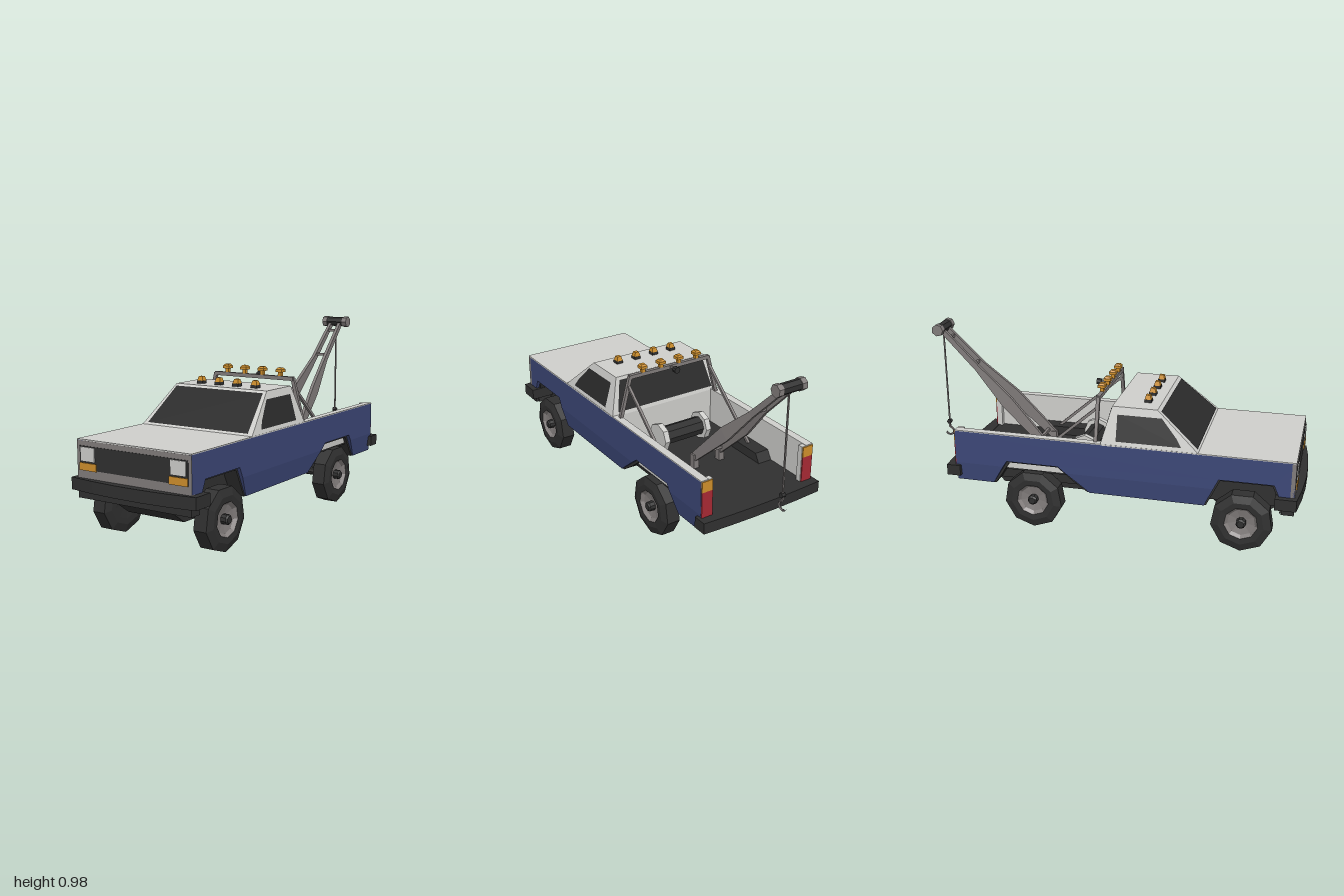
import * as THREE from 'three';
import { ConvexGeometry } from 'three/addons/geometries/ConvexGeometry.js';

const mat = (name, color, side = THREE.FrontSide) => {
  const m = new THREE.MeshStandardMaterial({ color, side });
  m.name = name;
  return m;
};

export function createModel() {
  const white = mat('offWhite', 0xcfcfcc), blue = mat('bluePaint', 0x3d4878);
  const dark = mat('darkRubber', 0x303030), grey = mat('greyMetal', 0x827d7c);
  const glass = mat('darkGlass', 0x2b2b2b, THREE.DoubleSide);
  const orange = mat('amber', 0xd0902c), red = mat('redLamp', 0xa82a34);
  const truck = new THREE.Group();
  truck.name = 'towTruck';

  const add = (name, geo, m, parent = truck) => {
    const mesh = new THREE.Mesh(geo, m);
    mesh.name = name;
    parent.add(mesh);
    return mesh;
  };
  const flat = (g) => {
    const f = g.index ? g.toNonIndexed() : g;
    f.computeVertexNormals();
    return f;
  };
  const V = (p) => new THREE.Vector3(...p);
  const hull = (pts) => new ConvexGeometry(pts.map(V));
  // box given by its min and max on each axis
  const box = (name, m, x0, x1, y0, y1, z0, z1) => add(name,
    new THREE.BoxGeometry(x1 - x0, y1 - y0, z1 - z0).translate((x0 + x1) / 2, (y0 + y1) / 2, (z0 + z1) / 2), m);
  // mirrored box on both sides
  const boxes = (name, m, x0, x1, ...r) => {
    box(name, m, x0, x1, ...r);
    box(name, m, -x1, -x0, ...r);
  };
  // side outline of [z, y] points, extruded along x
  const prism = (pts, x0, x1) => new THREE.ExtrudeGeometry(
    new THREE.Shape(pts.map(([z, y]) => new THREE.Vector2(-z, y))), { depth: x1 - x0, bevelEnabled: false })
    .rotateY(Math.PI / 2).translate(x0, 0, 0);
  // straight square bar between two points
  const bar = (name, a, b, w, m) => {
    const p = V(a), q = V(b);
    const mesh = add(name, new THREE.BoxGeometry(w, w, p.distanceTo(q)), m);
    mesh.position.copy(p).add(q).multiplyScalar(0.5);
    mesh.lookAt(q);
    return mesh;
  };
  // single flat face with corners in order
  const plate = (name, pts, m) => {
    const v = [];
    for (let i = 1; i < pts.length - 1; i++) v.push(...pts[0], ...pts[i], ...pts[i + 1]);
    const g = new THREE.BufferGeometry();
    g.setAttribute('position', new THREE.Float32BufferAttribute(v, 3));
    g.computeVertexNormals();
    return add(name, g, m);
  };
  const tube = (name, r, x0, x1, y, z, sides, m) => add(name,
    flat(new THREE.CylinderGeometry(r, r, x1 - x0, sides)).rotateZ(Math.PI / 2).translate((x0 + x1) / 2, y, z), m);

  // Body sides with wheel arch notches, and sills leaning inward below
  const frontArch = [[0.9, 0.22], [0.905, 0.27], [0.86, 0.372], [0.59, 0.372], [0.52, 0.22]];
  const rearArch = [[-0.07, 0.22], [-0.15, 0.285], [-0.235, 0.352], [-0.51, 0.352], [-0.59, 0.22]];
  const upper = [[0.96, 0.32], [0.883, 0.32], [0.86, 0.372], [0.59, 0.372], [0.566, 0.32], [-0.194, 0.32],
    [-0.235, 0.352], [-0.51, 0.352], [-0.531, 0.32], [-0.79, 0.32], [-0.79, 0.495], [0.96, 0.495]];
  const sills = [
    [[0.96, 0.22], [0.9, 0.22], [0.905, 0.27], [0.883, 0.32], [0.96, 0.32]],
    [[0.52, 0.22], [-0.07, 0.22], [-0.194, 0.32], [0.566, 0.32]],
    [[-0.59, 0.22], [-0.79, 0.22], [-0.79, 0.32], [-0.531, 0.32]]];
  for (const s of [1, -1]) {
    add('bodySide', prism(upper, s > 0 ? 0.295 : -0.33, s > 0 ? 0.33 : -0.295), blue);
    for (const pts of sills) {
      const g = prism(pts, s > 0 ? 0.295 : -0.33, s > 0 ? 0.33 : -0.295);
      const p = g.attributes.position;
      for (let i = 0; i < p.count; i++) p.setX(i, p.getX(i) - s * Math.max(0, 0.32 - p.getY(i)) * 0.13);
      g.computeVertexNormals();
      add('sill', g, blue);
    }
    // Wheel wells: arch shell plus inner wall
    for (const arch of [frontArch, rearArch]) {
      const cz = (arch[0][0] + arch[4][0]) / 2;
      const inner = arch.map(([z, y]) => [cz + (z - cz) * 0.95, y > 0.23 ? y - 0.012 : y]).reverse();
      add('wheelWell', prism([...arch, ...inner], s > 0 ? 0.21 : -0.312, s > 0 ? 0.312 : -0.21), dark);
      add('wellWall', prism(arch, s > 0 ? 0.21 : -0.235, s > 0 ? 0.235 : -0.21), dark);
    }
  }

  // Floor, underbody and bed
  box('chassis', dark, -0.22, 0.22, 0.222, 0.3, -0.785, 0.95);
  for (const [a, b] of [[0.905, 0.95], [-0.07, 0.52], [-0.785, -0.59]]) box('floorPan', dark, -0.312, 0.312, 0.222, 0.3, a, b);
  add('frontUnderbody', prism([[0.93, 0.23], [0.8, 0.137], [0.6, 0.137], [0.5, 0.23]], -0.165, 0.165), dark);
  add('rearUnderbody', prism([[-0.07, 0.23], [-0.11, 0.16], [-0.59, 0.16], [-0.65, 0.23]], -0.165, 0.165), dark);
  box('bedFloor', dark, -0.295, 0.295, 0.295, 0.305, -0.785, -0.01);
  boxes('bedLining', white, 0.289, 0.296, 0.305, 0.495, -0.785, -0.01);
  boxes('bedRail', white, 0.289, 0.33, 0.495, 0.5, -0.79, 0);
  box('bedFrontWall', white, -0.295, 0.295, 0.3, 0.495, -0.01, 0.01);
  box('rearValance', blue, -0.317, 0.317, 0.22, 0.3, -0.79, -0.78);
  boxes('tailPillar', white, 0.265, 0.325, 0.3, 0.497, -0.789, -0.76);
  boxes('tailLamp', red, 0.268, 0.328, 0.305, 0.44, -0.795, -0.788);
  boxes('rearIndicator', orange, 0.268, 0.328, 0.44, 0.495, -0.795, -0.788);

  // Hood and front face
  box('hood', white, -0.33, 0.33, 0.493, 0.5, 0, 0.96);
  box('fascia', grey, -0.33, 0.33, 0.315, 0.494, 0.94, 0.961);
  box('grille', dark, -0.312, 0.312, 0.358, 0.47, 0.958, 0.964);
  boxes('headlight', white, 0.22, 0.302, 0.4, 0.465, 0.962, 0.968);
  boxes('frontIndicator', orange, 0.21, 0.312, 0.355, 0.391, 0.962, 0.969);
  box('frontValance', dark, -0.328, 0.328, 0.22, 0.26, 0.9, 0.962);

  // Bumpers, bowed slightly at the middle
  const bumper = (name, x, y0, y1, zIn, zEnd, zMid) => add(name, hull([y0, y1].flatMap((y) => [1, -1].flatMap((s) =>
    [[s * x, y, zIn], [s * x, y, zEnd], [s * x * 0.6, y, (zEnd + 2 * zMid) / 3], [s * x * 0.2, y, zMid]]))), dark);
  bumper('frontBumper', 0.36, 0.257, 0.316, 0.868, 0.973, 1);
  bumper('rearBumper', 0.345, 0.25, 0.307, -0.782, -0.838, -0.849);
  boxes('rearBumperEnd', dark, 0.32, 0.345, 0.25, 0.307, -0.8, -0.765);

  // Cab with glass set on each face
  const side = (y) => 0.33 - 0.282 * (y - 0.495) + 0.003;
  add('cab', hull([1, -1].flatMap((s) => [[s * 0.33, 0.495, 0.49], [s * 0.33, 0.495, -0.01],
    [s * 0.275, 0.687, 0.27], [s * 0.275, 0.687, 0.04]])), white);
  const across = (name, x0, x1, y0, y1, zAt) => plate(name,
    [[-x0, y0, zAt(y0)], [x0, y0, zAt(y0)], [x1, y1, zAt(y1)], [-x1, y1, zAt(y1)]], glass);
  across('windshield', 0.3, 0.263, 0.51, 0.677, (y) => 0.495 - 1.146 * (y - 0.495));
  across('rearWindow', 0.295, 0.26, 0.515, 0.672, (y) => -0.014 + 0.26 * (y - 0.495));
  for (const s of [1, -1]) {
    plate('sideWindow', [[0.4, 0.52], [0.07, 0.52], [0.07, 0.65], [0.295, 0.65], [0.375, 0.56]]
      .map(([z, y]) => [s * side(y), y, z]), glass);
  }

  // Wheels and axles
  const lathe = (pts) => flat(new THREE.LatheGeometry(pts.map((p) => new THREE.Vector2(...p)), 9, Math.PI / 2))
    .rotateZ(-Math.PI / 2);
  const tyre = lathe([[0.001, -0.04], [0.085, -0.048], [0.115, -0.048], [0.155, -0.035], [0.155, 0.035], [0.115, 0.048], [0.085, 0.046]]);
  const rim = lathe([[0.086, 0.046], [0.07, 0.03], [0.03, 0.022], [0.001, 0.022]]);
  const cap = lathe([[0.025, 0.02], [0.025, 0.05], [0.018, 0.057], [0.0005, 0.057]]);
  for (const z of [0.71, -0.37]) {
    tube('axle', 0.021, -0.27, 0.27, 0.155, z, 8, dark);
    for (const s of [1, -1]) {
      const wheel = new THREE.Group();
      wheel.name = 'wheel';
      add('tyre', tyre, dark, wheel);
      add('rim', rim, grey, wheel);
      add('hubCap', cap, dark, wheel);
      wheel.position.set(s * 0.297, 0.155, z);
      if (s < 0) wheel.rotation.y = Math.PI;
      truck.add(wheel);
    }
  }

  // Light rack behind the cab
  bar('rackTop', [-0.245, 0.712, -0.04], [0.245, 0.712, -0.04], 0.02, grey);
  for (const s of [1, -1]) {
    bar('rackLeg', [s * 0.24, 0.715, -0.04], [s * 0.3, 0.49, -0.04], 0.018, grey);
    bar('rackBrace', [s * 0.25, 0.665, -0.04], [s * 0.25, 0.35, -0.4], 0.014, grey);
  }
  bar('workLampArm', [0, 0.715, -0.04], [0, 0.715, -0.09], 0.01, grey);
  add('workLamp', flat(new THREE.CylinderGeometry(0.017, 0.017, 0.025, 8)).rotateX(Math.PI / 2).translate(0, 0.715, -0.1), dark);

  // Beacons on the roof and the rack
  const frustum = (name, wTop, wBottom, y0, y1, x, z, m) => add(name,
    flat(new THREE.CylinderGeometry(wTop * 0.707, wBottom * 0.707, y1 - y0, 4)).rotateY(Math.PI / 4)
      .translate(x, (y0 + y1) / 2, z), m);
  for (const x of [-0.165, -0.055, 0.055, 0.165]) {
    frustum('roofBeaconBase', 0.036, 0.036, 0.685, 0.702, x, 0.2, dark);
    frustum('roofBeacon', 0.022, 0.034, 0.702, 0.724, x, 0.2, orange);
    frustum('rackBeaconStem', 0.02, 0.02, 0.72, 0.745, x, -0.04, orange);
    frustum('rackBeacon', 0.038, 0.038, 0.743, 0.757, x, -0.04, orange);
    frustum('rackBeaconTop', 0.022, 0.036, 0.757, 0.766, x, -0.04, orange);
  }

  // Winch
  tube('winchDrum', 0.05, -0.115, 0.115, 0.385, -0.145, 8, dark);
  for (const s of [1, -1]) tube('winchPlate', 0.075, s * 0.128 - 0.015, s * 0.128 + 0.015, 0.385, -0.145, 8, white);

  // Boom: two tapering arms joined by rungs
  const stations = [[0.078, 0.36, -0.38, 0.022], [0.058, 0.58, -0.6, 0.036], [0.036, 0.745, -0.765, 0.016], [0.029, 0.945, -0.965, 0.013]];
  for (const s of [1, -1]) {
    const sections = stations.map(([x, y, z, h]) => [-1, 1].flatMap((a) => [-1, 1].map((b) =>
      [s * x + a * 0.009, y + b * h * 0.707, z + b * h * 0.707])));
    for (let i = 0; i < 3; i++) add('boomArm', hull([...sections[i], ...sections[i + 1]]), grey);
    box('boomFoot', grey, s * 0.078 - 0.016, s * 0.078 + 0.016, 0.3, 0.38, -0.4, -0.365);
  }
  for (const [x, y] of [[0.075, 0.39], [0.036, 0.765], [0.03, 0.9]]) bar('boomRung', [-x, y, -y - 0.02], [x, y, -y - 0.02], 0.015, grey);
  tube('boomHead', 0.028, -0.052, 0.052, 0.95, -0.967, 7, dark);
  for (const s of [1, -1]) tube('boomHeadEnd', 0.032, s * 0.065 - 0.014, s * 0.065 + 0.014, 0.95, -0.967, 7, grey);

  // Cable and hook
  bar('cable', [0, 0.94, -0.967], [0, 0.41, -0.967], 0.007, grey);
  tube('hookBlock', 0.013, -0.011, 0.011, 0.41, -0.967, 6, dark);
  bar('hookShank', [0, 0.405, -0.967], [0, 0.375, -0.967], 0.009, grey);
  const hookPath = new THREE.CatmullRomCurve3([[0, 0.378, -0.967], [0, 0.366, -0.95], [0, 0.346, -0.947], [0, 0.332, -0.962],
    [0, 0.333, -0.98], [0, 0.345, -0.99]].map(V));
  add('hook', flat(new THREE.TubeGeometry(hookPath, 10, 0.006, 5)), grey);

  return truck;
}
